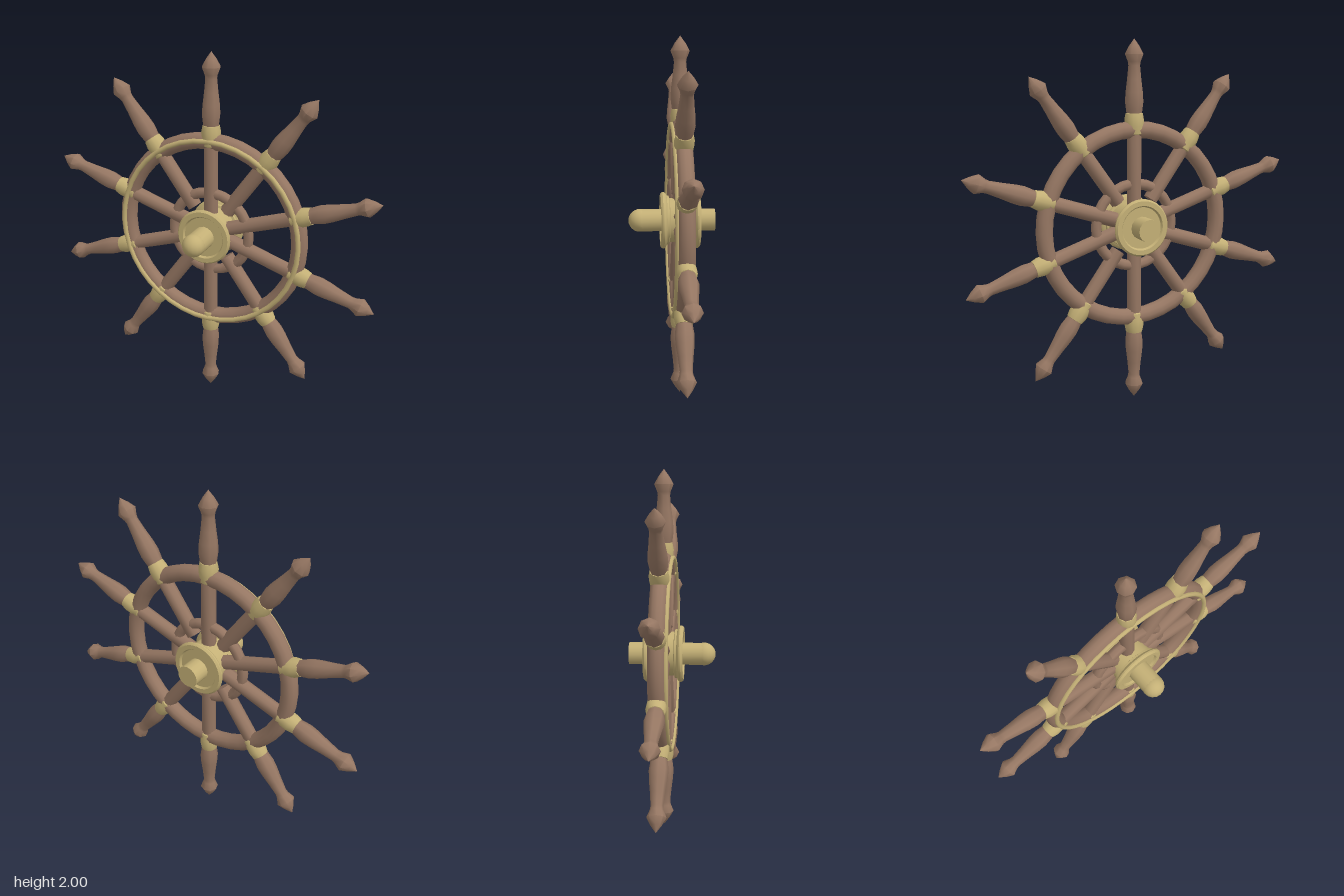
import * as THREE from 'three';
import { toCreasedNormals } from 'three/addons/utils/BufferGeometryUtils.js';

const PLANE_Z = -0.045;
const SPOKES = 10;

export function createModel() {
  const wood = new THREE.MeshStandardMaterial({ color: 0x967763 });
  wood.name = 'wood';
  const brass = new THREE.MeshStandardMaterial({ color: 0xc4b076 });
  brass.name = 'brass';

  const model = new THREE.Group();
  model.name = 'shipWheel';
  const wheel = new THREE.Group();
  wheel.name = 'wheel';
  wheel.position.set(0, 1, PLANE_Z);
  model.add(wheel);

  const add = (parent, name, geometry, material) => {
    const mesh = new THREE.Mesh(geometry, material);
    mesh.name = name;
    parent.add(mesh);
    return mesh;
  };
  // Turned part from [radius, height] pairs listed bottom to top
  const turned = (profile, sides, crease = 0.6) => toCreasedNormals(
    new THREE.LatheGeometry(profile.map(([r, h]) => new THREE.Vector2(r, h)), sides), crease);

  // Rims
  add(wheel, 'outerRim', new THREE.TorusGeometry(0.522, 0.046, 12, 40), wood);
  add(wheel, 'innerRim', new THREE.TorusGeometry(0.227, 0.03, 8, 30), wood);
  const inlay = add(wheel, 'brassRing', new THREE.TorusGeometry(0.529, 0.014, 8, 40), brass);
  inlay.position.z = 0.044;

  // Spokes: inner shaft, brass collar, and turned handle
  const handle = turned([
    [0.041, 0.59], [0.047, 0.63], [0.052, 0.67], [0.049, 0.72], [0.04, 0.79],
    [0.033, 0.86], [0.036, 0.88], [0.052, 0.92], [0.03, 0.96], [0, 1],
  ], 8, 0.9);
  const collar = turned([
    [0.041, 0.495], [0.047, 0.5], [0.052, 0.54], [0.053, 0.575], [0.046, 0.61], [0.036, 0.612],
  ], 12);
  const shaft = (start) => turned([[0, start], [0.041, start], [0.041, 0.53]], 8, 0.9);
  const longShaft = shaft(0.1);
  const shortShaft = shaft(0.166);
  for (let i = 0; i < SPOKES; i++) {
    const spoke = new THREE.Group();
    spoke.name = 'spoke' + (i + 1);
    spoke.rotation.z = -i * Math.PI * 2 / SPOKES;
    // The steep diagonals stop just short of the hub
    const diagonal = [1, 4, 6, 9].includes(i);
    add(spoke, 'spokeShaft', diagonal ? shortShaft : longShaft, wood);
    add(spoke, 'spokeCollar', collar, brass);
    add(spoke, 'spokeHandle', handle, wood);
    wheel.add(spoke);
  }

  // Hub: one flanged half profile, mirrored about the wheel plane
  const half = [
    [0.122, 0.058], [0.135, 0.062], [0.137, 0.074], [0.15, 0.08], [0.157, 0.089],
    [0.157, 0.097], [0.148, 0.108], [0.122, 0.108], [0.114, 0.096], [0, 0.096],
  ];
  const mirrored = half.map(([r, h]) => [r, -h]).reverse();
  const hub = add(wheel, 'hub', turned([...mirrored, ...half], 32), brass);
  hub.rotation.x = Math.PI / 2;

  // Axle running through the hub, with a rounded front knob
  const axle = add(wheel, 'axle', turned([[0, -0.193], [0.062, -0.193], [0.062, 0.225], [0, 0.225]], 16), brass);
  axle.rotation.x = Math.PI / 2;
  const knob = add(wheel, 'axleKnob', new THREE.SphereGeometry(0.063, 16, 12), brass);
  knob.position.z = 0.222;

  return model;
}
